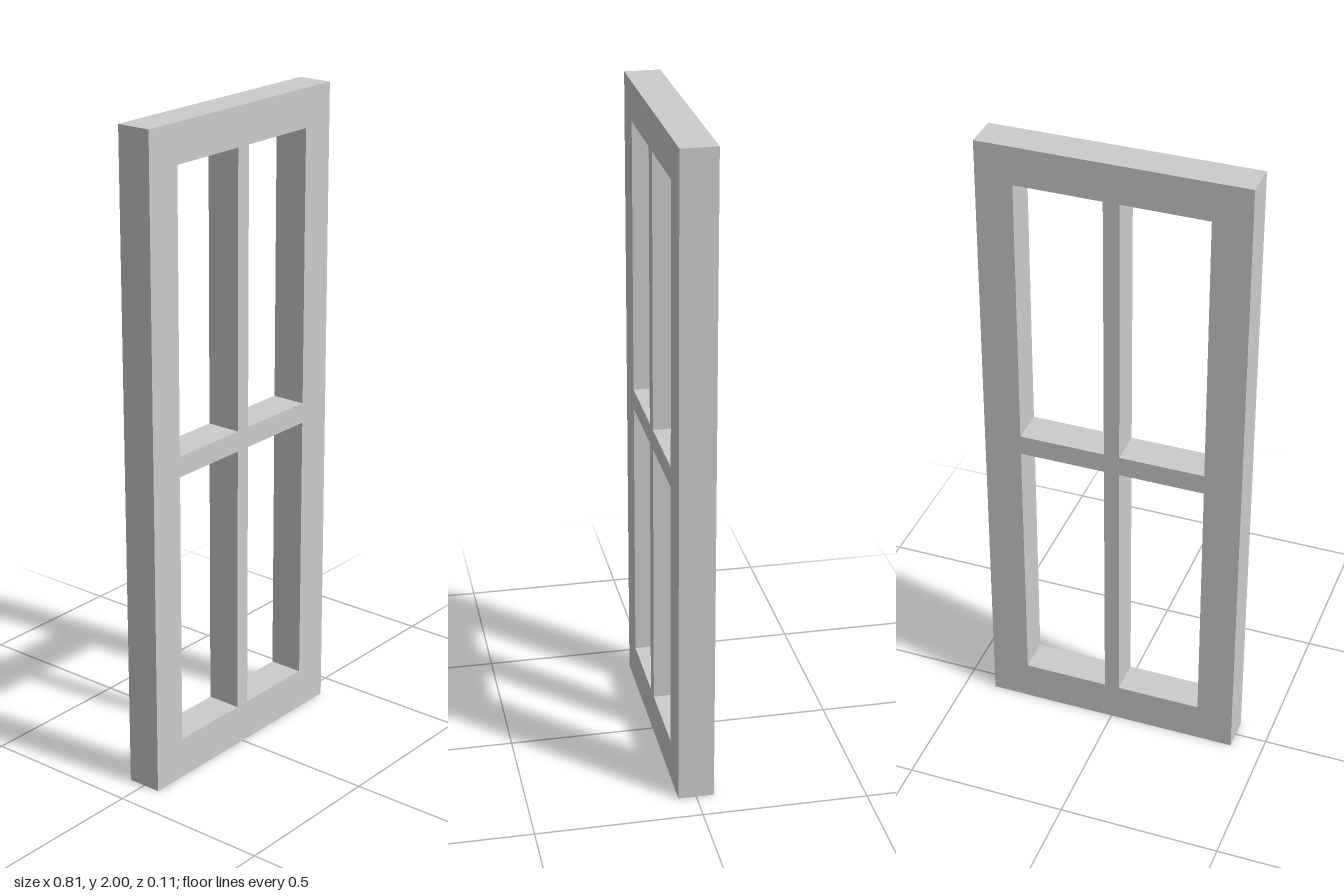
import * as THREE from 'three';

const DEPTH = 0.108;

// Path through corner points
const outline = (Type, corners) => new Type(corners.map(([x, y]) => new THREE.Vector2(x, y)));

export function createModel() {
  const group = new THREE.Group();
  group.name = 'window';

  // Outer frame, leaning very slightly out of square
  const frame = outline(THREE.Shape, [[-0.401, 0], [0.403, 0], [0.398, 2], [-0.404, 2]]);

  // Four openings, leaving a mullion and a cross bar between them
  for (const [y0, y1] of [[0.127, 0.971], [1.034, 1.882]]) {
    for (const [x0, x1] of [[-0.288, -0.026], [0.022, 0.286]]) {
      frame.holes.push(outline(THREE.Path, [[x0, y0], [x0, y1], [x1, y1], [x1, y0]]));
    }
  }

  const geometry = new THREE.ExtrudeGeometry(frame, { depth: DEPTH, bevelEnabled: false });
  geometry.translate(0, 0, -DEPTH / 2);

  const mesh = new THREE.Mesh(geometry, new THREE.MeshStandardMaterial({ color: 0xcccccc }));
  mesh.name = 'windowFrame';
  group.add(mesh);
  return group;
}
